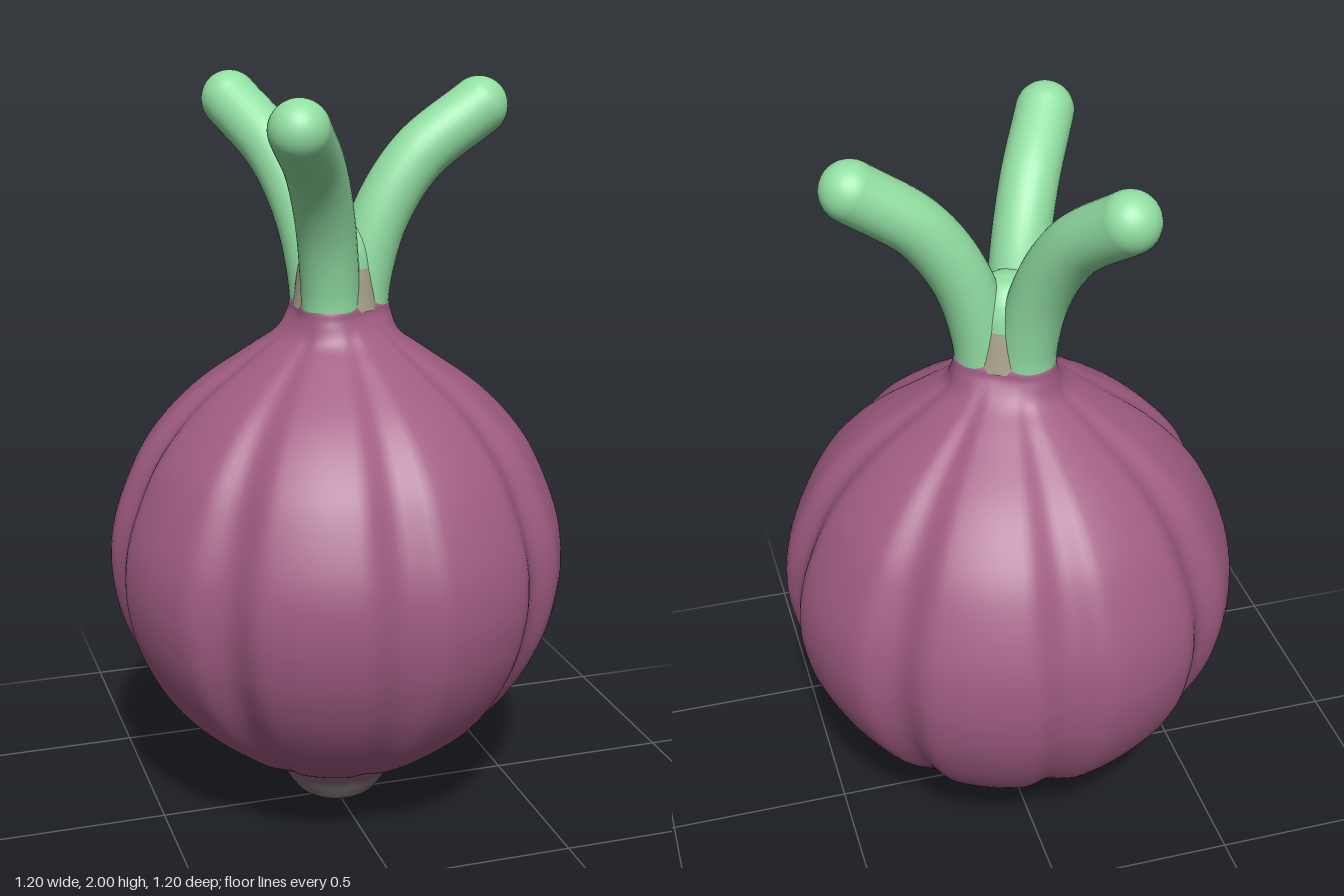
import * as THREE from 'three';
import { mergeVertices } from 'three/addons/utils/BufferGeometryUtils.js';

const mat = (name, color) => new THREE.MeshStandardMaterial({ name, color });

// Grooved bulb: a lathe pressed in along eight meridians, with a three-lobed neck
function bulbGeometry() {
  const profile = [
    [0, 0], [0.06, 0.008], [0.105, 0.03], [0.13, 0.06], [0.162, 0.105], [0.215, 0.15],
    [0.305, 0.2], [0.425, 0.3], [0.505, 0.4], [0.56, 0.5], [0.595, 0.6], [0.612, 0.72],
    [0.598, 0.85], [0.54, 1], [0.475, 1.1], [0.376, 1.2], [0.235, 1.3], [0.165, 1.35],
    [0.133, 1.4], [0.124, 1.43], [0.1, 1.45], [0, 1.46],
  ].map(([x, y]) => new THREE.Vector2(x, y));
  const points = new THREE.SplineCurve(profile).getPoints(126);
  points.forEach((p) => { p.x = Math.max(0, p.x); });
  let geo = new THREE.LatheGeometry(points, 192);
  geo.deleteAttribute('uv');
  geo.deleteAttribute('normal');

  const pos = geo.attributes.position;
  const step = Math.PI / 4;
  for (let i = 0; i < pos.count; i++) {
    const x = pos.getX(i), y = pos.getY(i), z = pos.getZ(i);
    const a = Math.atan2(z, x);
    const d = Math.abs(a - Math.round(a / step) * step) / 0.19;
    const groove = d < 1 ? 0.5 + 0.5 * Math.cos(Math.PI * d) : 0;
    const fade = THREE.MathUtils.smoothstep(y, 0.06, 0.25) * (1 - THREE.MathUtils.smoothstep(y, 1.25, 1.42));
    const lobes = 0.13 * Math.cos(3 * a) * THREE.MathUtils.smoothstep(y, 1.33, 1.42);
    const s = 1 - 0.058 * groove * fade + lobes;
    pos.setXYZ(i, x * s, y, z * s);
  }
  geo = mergeVertices(geo, 1e-5);
  geo.computeVertexNormals();

  // Sort the faces into root, transition and skin by height
  const bands = [[], [], []];
  const index = geo.index.array, p = geo.attributes.position;
  for (let i = 0; i < index.length; i += 3) {
    const tri = [index[i], index[i + 1], index[i + 2]];
    if (new Set(tri).size < 3) continue;
    const y = tri.reduce((sum, v) => sum + p.getY(v), 0) / 3;
    bands[y < 0.105 ? 0 : y < 0.14 ? 1 : 2].push(...tri);
  }
  geo.setIndex(bands.flat());
  let start = 0;
  bands.forEach((band, i) => {
    geo.addGroup(start, band.length, i);
    start += band.length;
  });
  return geo;
}

export function createModel() {
  const skin = mat('purple skin', 0xa05c82);
  const root = mat('grey root', 0x85757a);
  const rootEdge = mat('root edge', 0x906a7e);
  const green = mat('green sprout', 0x92dfa3);
  const tan = mat('tan collar', 0xa8a48c);

  const model = new THREE.Group();
  model.name = 'onion';
  const add = (parent, name, geo, material) => {
    const mesh = new THREE.Mesh(geo, material);
    mesh.name = name;
    parent.add(mesh);
    return mesh;
  };

  add(model, 'bulb', bulbGeometry(), [root, rootEdge, skin]);

  // Collar and fillet filling the gaps between the sprouts
  const lathe = (pts) => new THREE.LatheGeometry(
    new THREE.SplineCurve(pts.map(([x, y]) => new THREE.Vector2(x, y))).getPoints(24), 48);
  add(model, 'collar', lathe([[0.115, 1.42], [0.109, 1.46], [0.104, 1.5], [0.099, 1.53]]), tan);
  add(model, 'sproutCore', lathe([[0.099, 1.53], [0.092, 1.57], [0.075, 1.61], [0.045, 1.64], [0, 1.65]]), green);

  // Three curved sprouts with round tips
  const radius = 0.077;
  const path = new THREE.CatmullRomCurve3([
    [0.062, 1.36], [0.07, 1.48], [0.12, 1.65], [0.22, 1.8], [0.388, 1.923],
  ].map(([x, y]) => new THREE.Vector3(x, y, 0)));
  const stalkGeo = new THREE.TubeGeometry(path, 48, radius, 32);
  const tipGeo = new THREE.SphereGeometry(radius, 32, 20);
  for (let i = 0; i < 3; i++) {
    const sprout = new THREE.Group();
    sprout.name = 'sprout' + (i + 1);
    add(sprout, 'stalk', stalkGeo, green);
    add(sprout, 'tip', tipGeo, green).position.copy(path.getPoint(1));
    sprout.rotation.y = (i * Math.PI * 2) / 3;
    model.add(sprout);
  }
  return model;
}
